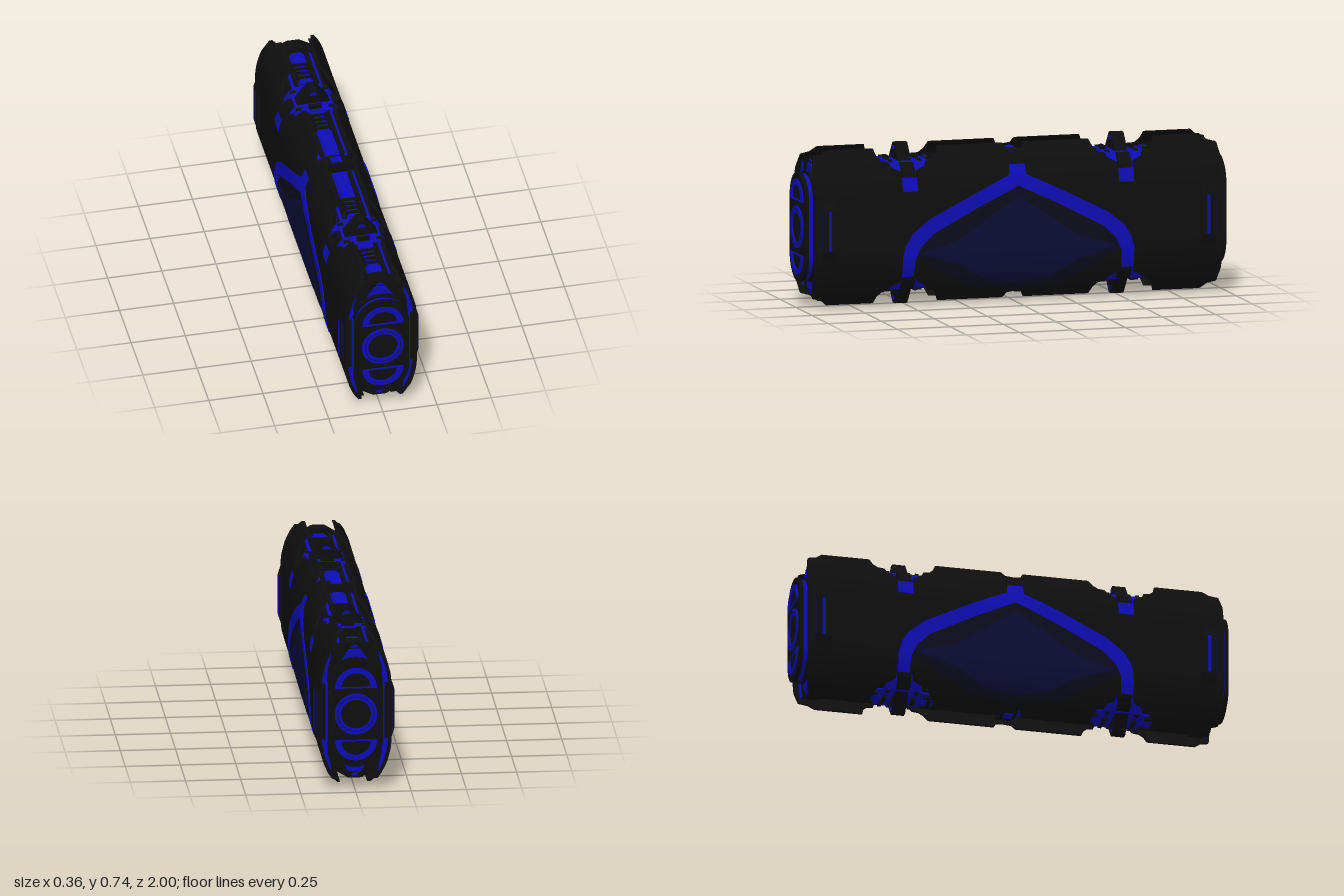
import * as THREE from 'three';
import { toCreasedNormals } from 'three/addons/utils/BufferGeometryUtils.js';

const C = 0.3675; // height of the long axis; parts are built around it

function makeMat(name, color) {
  const m = new THREE.MeshStandardMaterial({ color, side: THREE.DoubleSide });
  m.name = name;
  return m;
}

// linear lookup in a list of [key, value]
function lerpList(list, k) {
  if (k <= list[0][0]) return list[0][1];
  for (let i = 1; i < list.length; i++) {
    const [a, va] = list[i - 1], [b, vb] = list[i];
    if (k <= b) return va + (vb - va) * (k - a) / (b - a);
  }
  return list[list.length - 1][1];
}

// half width of the curved side shell by distance from the axis
const BULGE = [[0, 0.165], [0.13, 0.165], [0.18, 0.16], [0.235, 0.145], [0.29, 0.122], [0.32, 0.1], [0.35, 0.075]];

// curved plate on the +x side, between a top and a bottom edge given as [|z|, y]
function patch(top, bot, off, thick, sign = 0) {
  const z0 = top[0][0], z1 = top[top.length - 1][0], set = new Set();
  for (const p of [...top, ...bot]) if (p[0] >= z0 && p[0] <= z1) set.add(p[0]);
  for (let z = z0; z < z1; z += 0.03) set.add(+z.toFixed(4));
  let zs = [...set];
  zs = sign ? zs.map(z => z * sign) : [...new Set([...zs, ...zs.map(z => -z || 0)])];
  zs.sort((a, b) => a - b);
  const n = 26, L = 2 * n, pos = [], idx = [];
  for (const z of zs) {
    const t = lerpList(top, Math.abs(z)) - C, b = lerpList(bot, Math.abs(z)) - C;
    for (let k = 0; k < L; k++) {
      const j = k < n ? k : L - 1 - k, y = b + (t - b) * j / (n - 1);
      pos.push(lerpList(BULGE, Math.abs(y)) + off - (k < n ? 0 : thick), y, z);
    }
  }
  for (let i = 0; i < zs.length - 1; i++) for (let k = 0; k < L; k++) {
    const a = i * L + k, b = i * L + (k + 1) % L;
    idx.push(a, b, b + L, a, b + L, a + L);
  }
  const e = (zs.length - 1) * L;
  for (let j = 0; j < n - 1; j++) {
    const a = j, b = j + 1, c = L - 2 - j, d = L - 1 - j;
    idx.push(a, c, b, a, d, c, e + a, e + b, e + c, e + a, e + c, e + d);
  }
  const g = new THREE.BufferGeometry();
  g.setAttribute('position', new THREE.Float32BufferAttribute(pos, 3));
  g.setIndex(idx);
  return toCreasedNormals(g, 0.6);
}

function polygon(pts) {
  return new THREE.Shape(pts.map(p => new THREE.Vector2(p[0], p[1])));
}

// quarter outline mirrored to a full closed outline
function mirrored(q) {
  const right = [...q, ...q.slice().reverse().map(([x, y]) => [x, -y])];
  return polygon([...right, ...right.slice().reverse().map(([x, y]) => [-x, y])]);
}

function slab(shape, z0, z1) {
  const g = new THREE.ExtrudeGeometry(shape, { depth: z1 - z0, bevelEnabled: false, curveSegments: 28 });
  return g.translate(0, 0, z0);
}

function box(x0, x1, y0, y1, z0, z1) {
  return new THREE.BoxGeometry(x1 - x0, y1 - y0, z1 - z0).translate((x0 + x1) / 2, (y0 + y1) / 2, (z0 + z1) / 2);
}

function stadium(r, h) {
  const s = new THREE.Shape();
  s.absarc(0, h, r, 0, Math.PI, false);
  s.absarc(0, -h, r, Math.PI, Math.PI * 2, false);
  s.closePath();
  return s;
}

export function createModel() {
  const black = makeMat('blackShell', 0x0e0e0e);
  const blue = makeMat('blueTrim', 0x0d0db4);
  const midnight = makeMat('midnightPanel', 0x0c0c1c);
  const navy = makeMat('navyPanel', 0x0c0c36);
  const model = new THREE.Group();
  model.name = 'armouredContainer';
  model.position.y = C;
  const root = new THREE.Group();
  model.add(root);
  const add = (parent, name, geo, mat) => {
    const m = new THREE.Mesh(geo, mat);
    m.name = name;
    parent.add(m);
    return m;
  };
  const group = (parent, name) => {
    const g = new THREE.Group();
    g.name = name;
    parent.add(g);
    return g;
  };

  // curved side shells with notches, inlaid stripe and panel
  const edge = [[0, 0.69], [0.035, 0.695], [0.05, 0.72], [0.355, 0.72], [0.37, 0.685], [0.39, 0.665], [0.42, 0.66],
    [0.43, 0.64], [0.47, 0.62], [0.475, 0.59], [0.545, 0.59], [0.55, 0.62], [0.59, 0.64], [0.60, 0.66], [0.63, 0.665],
    [0.65, 0.685], [0.66, 0.72], [0.88, 0.72], [0.91, 0.695], [0.95, 0.685], [0.962, 0.62]];
  const lowEdge = edge.map(([z, y]) => [z, 2 * C - y]);
  const stripeTop = [[0, 0.63], [0.035, 0.63], [0.04, 0.585], [0.2, 0.51], [0.42, 0.4], [0.5, 0.335], [0.53, 0.285], [0.545, 0.23]];
  const stripeLow = [[0, 0.535], [0.2, 0.44], [0.4, 0.335], [0.46, 0.275], [0.485, 0.22], [0.49, 0.14], [0.545, 0.14]];
  const panelTop = [[0, 0.52], [0.2, 0.425], [0.4, 0.32], [0.48, 0.25]];
  const panelLow = [[0, 0.05], [0.2, 0.08], [0.35, 0.15], [0.48, 0.235]];
  const innerTop = [[0, 0.49], [0.15, 0.39], [0.28, 0.3], [0.45, 0.25]];
  const innerLow = [[0, 0.09], [0.15, 0.11], [0.28, 0.19], [0.45, 0.24]];
  for (const side of ['left', 'right']) {
    const s = group(root, side + 'Side');
    if (side === 'right') s.rotation.y = Math.PI;
    add(s, 'sideShell', patch(edge, lowEdge, 0, 0.014), black);
    add(s, 'sidePanel', patch(panelTop, panelLow, 0.002, 0.004), midnight);
    add(s, 'sidePanelCentre', patch(innerTop, innerLow, 0.0035, 0.004), navy);
    add(s, 'archStripe', patch(stripeTop, stripeLow, 0.004, 0.008), blue);
    for (const sign of [1, -1])
      add(s, 'slotTab', patch([[0.475, 0.592], [0.545, 0.592]], [[0.475, 0.53], [0.545, 0.53]], 0.003, 0.008, sign), blue);
  }

  // inner core
  add(root, 'core', slab(mirrored([[0.085, 0.28], [0.11, 0.235]]), -0.93, 0.93), black);

  // ribs around the core
  const rib = mirrored([[0.015, 0.3675], [0.08, 0.2875], [0.11, 0.2875], [0.142, 0.246], [0.151, 0.222], [0.14, 0.19]]);
  for (const z of [-0.51, 0.51]) add(root, 'rib', slab(rib, z - 0.03, z + 0.03), black);
  const midRib = mirrored([[0.03, 0.322], [0.1, 0.3], [0.12, 0.28], [0.145, 0.22], [0.148, 0.18]]);
  add(root, 'middleRib', slab(midRib, -0.035, 0.035), black);

  // details in the top and bottom channels
  for (const end of ['top', 'bottom']) {
    const ch = group(root, end + 'Channel');
    if (end === 'bottom') ch.rotation.z = Math.PI;
    for (const s of [1, -1]) {
      const h = group(ch, 'channelHalf');
      if (s < 0) h.rotation.y = Math.PI;
      for (const [a, b, c] of [[0.05, 0.42, 0.27], [0.6, 0.88, 0.66]]) {
        add(h, 'channelBed', box(-0.07, 0.07, 0.27, 0.288, a, b), blue);
        for (const x of [-0.046, 0.046]) add(h, 'channelRail', box(x - 0.009, x + 0.009, 0.28, 0.302, a + 0.02, b - 0.02), black);
        add(h, 'channelBar', box(-0.026, 0.026, 0.28, 0.298, a + 0.02, b - 0.02), blue);
        for (let i = 0; i < 4; i++)
          add(h, 'crossbar', box(-0.05 + 0.01 * (i % 2), 0.05 - 0.01 * (i % 2), 0.285, 0.306, c + i * 0.032, c + i * 0.032 + 0.014), black);
      }
      // sloped blue blocks beside the rib
      const wedge = polygon([[-0.112, 0.21], [0.112, 0.21], [0.112, 0.25], [0.085, 0.292], [-0.085, 0.292], [-0.112, 0.25]]);
      add(h, 'notchBlock', slab(wedge, 0.42, 0.6), blue);
      for (const z of [0.435, 0.57]) {
        add(h, 'notchClamp', box(-0.03, 0.03, 0.28, 0.31, z, z + 0.016), black);
        for (const x of [-0.075, 0.075]) add(h, 'notchStud', box(x - 0.012, x + 0.012, 0.28, 0.298, z, z + 0.016), black);
      }
      for (const z of [0.478, 0.539]) add(h, 'ribMark', slab(polygon([[-0.022, 0.335], [0.022, 0.335], [0.008, 0.352], [-0.008, 0.352]]), z, z + 0.003), blue);
    }
    add(ch, 'middleMark', box(-0.025, 0.025, 0.318, 0.326, -0.02, 0.02), blue);
  }

  // end caps
  for (const end of ['front', 'back']) {
    const cap = group(root, end + 'Cap');
    if (end === 'back') cap.rotation.y = Math.PI;
    add(cap, 'endCollar', slab(mirrored([[0.03, 0.318], [0.08, 0.2875], [0.112, 0.2875], [0.125, 0.25], [0.145, 0.19]]), 0.86, 0.93), black);
    add(cap, 'capBase', slab(stadium(0.128, 0.125), 0.92, 0.955), black);
    add(cap, 'capBand', slab(stadium(0.117, 0.125), 0.955, 0.975), blue);
    add(cap, 'capFace', slab(stadium(0.122, 0.127), 0.975, 0.993), black);

    // round and half-round trim rings
    const ring = new THREE.Shape().absarc(0, 0, 0.096, 0, Math.PI * 2, false);
    ring.holes.push(new THREE.Path().absarc(0, 0, 0.068, 0, Math.PI * 2, true));
    add(cap, 'centreRing', slab(ring, 0.99, 1), blue);
    const lip = new THREE.Shape().absarc(0, 0, 0.083, 0, Math.PI * 2, false);
    lip.holes.push(new THREE.Path().absarc(0, 0, 0.080, 0, Math.PI * 2, true));
    add(cap, 'centreRingGroove', slab(lip, 0.99, 1.0008), navy);

    for (const half of [0, Math.PI]) {
      const g = group(cap, half ? 'lowerCapTrim' : 'upperCapTrim');
      g.rotation.z = half;
      const arch = new THREE.Shape();
      arch.absarc(0, 0.122, 0.095, 0, Math.PI, false);
      arch.closePath();
      const hole = new THREE.Path();
      hole.absarc(0, 0.127, 0.066, 0, Math.PI, false);
      hole.closePath();
      arch.holes.push(hole);
      add(g, 'halfRing', slab(arch, 0.99, 1), blue);
      add(g, 'endTrapezoid', slab(polygon([[-0.085, 0.2], [0.085, 0.2], [0.026, 0.288], [-0.026, 0.288]]), 0.93, 0.938), blue);
      add(g, 'endTip', slab(polygon([[-0.018, 0.296], [0.018, 0.296], [0.008, 0.308], [-0.008, 0.308]]), 0.93, 0.934), blue);
      for (const s of [1, -1]) {
        const liner = [[0.122, 0.13], [0.15, 0.13], [0.147, 0.18], [0.128, 0.25], [0.114, 0.285], [0.106, 0.285], [0.112, 0.24], [0.124, 0.2]];
        add(g, 'endLiner', slab(polygon(liner.map(([x, y]) => [x * s, y])), 0.9, 0.94), blue);
      }
    }

    // side bumpers
    for (const s of [1, -1]) {
      const bump = [[0.135, -0.17], [0.16, -0.165], [0.168, -0.13], [0.18, -0.095], [0.18, 0.095], [0.168, 0.13], [0.16, 0.165], [0.135, 0.17]];
      add(cap, 'sideBumper', slab(polygon(bump.map(([x, y]) => [x * s, y])), 0.86, 0.925), black);
      add(cap, 'bumperNose', box(s * 0.145 - 0.02, s * 0.145 + 0.02, -0.13, 0.13, 0.91, 0.95), black);
      add(cap, 'bumperInlay', box(s * 0.17 - 0.006, s * 0.17 + 0.006, -0.09, 0.09, 0.925, 0.932), navy);
      add(cap, 'bumperStripe', box(s * 0.178 - 0.004, s * 0.178 + 0.004, -0.09, 0.09, 0.885, 0.9), blue);
      add(cap, 'capSideLine', box(s * 0.129 - 0.005, s * 0.129 + 0.005, -0.14, 0.14, 0.93, 0.956), blue);
    }
  }
  return model;
}
